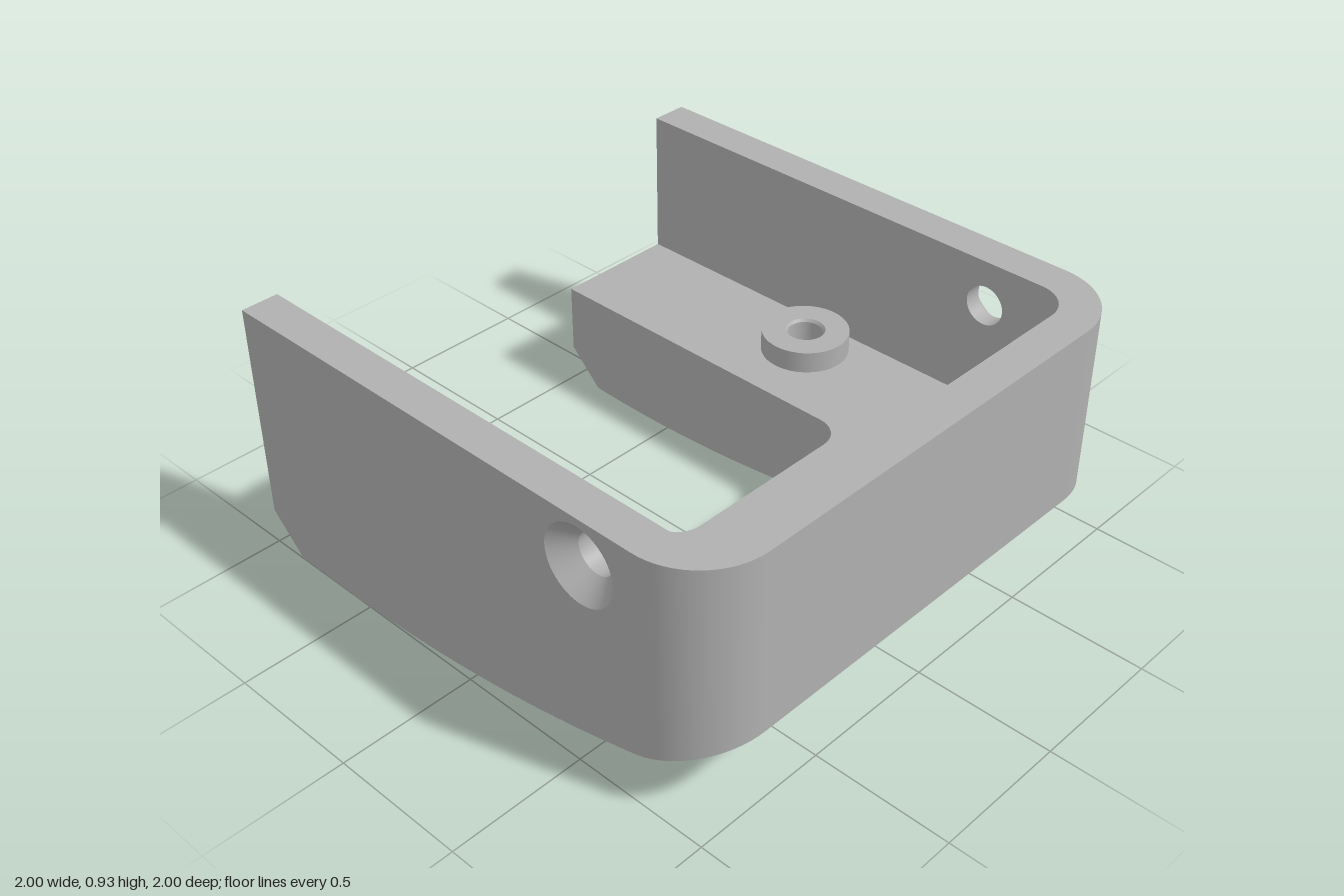
import * as THREE from 'three';

const TOP = 0.935, FLOOR = 0.395, INNER = 0.865;
const CHAMFER_X = -0.87, ARC_X = -0.625, ARC_R = 5.02;
const HOLE = { x: 0.53, y: 0.77, wide: 0.137, bore: 0.072 };
const OUTER_R = 0.26, INNER_R = 0.125;

// Height of the underside: one large arc, with a chamfer at the open end
const arc = (x) => ARC_R - Math.sqrt(ARC_R ** 2 - (x - ARC_X) ** 2);
const under = (x) => x >= CHAMFER_X ? arc(x)
  : THREE.MathUtils.mapLinear(x, -1, CHAMFER_X, 0.135, arc(CHAMFER_X));

// Half of a U outline in [x, z], from the open end round the corner
function halfOutline(xMax, zMax, r) {
  const pts = [[-1, zMax]];
  for (let i = 0; i <= 24; i++) pts.push([THREE.MathUtils.lerp(CHAMFER_X, xMax - r, i / 24), zMax]);
  for (let i = 1; i <= 16; i++) {
    const a = (i / 16) * Math.PI / 2;
    pts.push([xMax - r + r * Math.sin(a), zMax - r + r * Math.cos(a)]);
  }
  return pts;
}
const mirrorZ = (half) => [...half, ...half.slice().reverse().map(([x, z]) => [x, -z])];
const toVectors = (pts) => pts.map(([a, b]) => new THREE.Vector2(a, b));

// Surface strip between two matching rows of 3D points
function strip(rowA, rowB) {
  const index = [], n = rowA.length;
  for (let i = 0; i < n - 1; i++) index.push(i, n + i, i + 1, i + 1, n + i, n + i + 1);
  const g = new THREE.BufferGeometry();
  g.setAttribute('position', new THREE.Float32BufferAttribute([...rowA, ...rowB].flat(), 3));
  g.setIndex(index);
  g.computeVertexNormals();
  return g;
}

// Upright wall along an outline
const wall = (pts, bottom) => strip(
  pts.map(([x, z]) => [x, bottom(x), z]), pts.map(([x, z]) => [x, TOP, z]));

// Flat plate from an outline with round holes [x, y, radius]
function plate(pts, holes = []) {
  const shape = new THREE.Shape(toVectors(pts));
  for (const [x, y, r] of holes) shape.holes.push(new THREE.Path().absarc(x, y, r, 0, Math.PI * 2, true));
  return new THREE.ShapeGeometry(shape, 24);
}

export function createModel() {
  const grey = new THREE.MeshStandardMaterial({ color: 0xb0b0b0, side: THREE.DoubleSide });
  grey.name = 'grey';
  const model = new THREE.Group();
  model.name = 'bracket';
  const add = (name, geometry, parent = model) => {
    const mesh = new THREE.Mesh(geometry, grey);
    mesh.name = name;
    parent.add(mesh);
    return mesh;
  };
  // Turned part: each profile segment keeps crisp edges
  const turned = (name, profile) => {
    const group = new THREE.Group();
    group.name = name;
    for (let i = 0; i < profile.length - 1; i++) {
      add(name + 'Face', new THREE.LatheGeometry(toVectors([profile[i], profile[i + 1]]), 48), group);
    }
    model.add(group);
    return group;
  };

  const outer = halfOutline(1, 1, OUTER_R);
  const inner = halfOutline(INNER, INNER, INNER_R);
  const slot = halfOutline(0.33, 0.4, 0.1);
  const corner = (half, from) => mirrorZ(half.filter(([x]) => x >= from - 1e-6));

  // End wall with rounded corners, outside and inside
  add('endWallOutside', wall(corner(outer, 1 - OUTER_R), under));
  add('endWallInside', wall(corner(inner, INNER - INNER_R), () => FLOOR));

  // Top rim and floor
  add('rim', plate([...mirrorZ(outer), ...mirrorZ(inner).reverse()]).rotateX(Math.PI / 2)).position.y = TOP;
  const screws = [-0.1, 0.73].flatMap((x) => [-0.7, 0.7].map((z) => [x, z]));
  add('floor', plate([...mirrorZ(inner), ...mirrorZ(slot).reverse()],
    screws.map(([x, z]) => [x, z, 0.1])).rotateX(Math.PI / 2)).position.y = FLOOR;

  // Slot sides
  const slotPath = mirrorZ(slot);
  add('slotWall', strip(slotPath.map(([x, z]) => [x, under(x), z]), slotPath.map(([x, z]) => [x, FLOOR, z])));

  // Curved underside between slot and end wall
  const outerZ = (x) => x <= 1 - OUTER_R ? 1
    : 1 - OUTER_R + Math.sqrt(Math.max(0, OUTER_R ** 2 - (x - 1 + OUTER_R) ** 2));
  const across = [];
  for (let i = 0; i < 12; i++) across.push(THREE.MathUtils.lerp(0.33, 1 - OUTER_R, i / 12));
  across.push(...outer.filter(([x]) => x >= 1 - OUTER_R - 1e-6).map(([x]) => x));
  add('underside', strip(across.map((x) => [x, under(x), -outerZ(x)]), across.map((x) => [x, under(x), outerZ(x)])));

  for (const s of [1, -1]) {
    const side = s > 0 ? 'left' : 'right';
    // Side wall skins with the screw hole
    const flat = outer.filter(([x]) => x <= 1 - OUTER_R + 1e-6).map(([x]) => [x, under(x)]);
    add(side + 'WallOutside', plate([...flat, [1 - OUTER_R, TOP], [-1, TOP]],
      [[HOLE.x, HOLE.y, HOLE.wide]])).position.z = s;
    const xIn = INNER - INNER_R;
    add(side + 'WallInside', plate([[-1, FLOOR], [xIn, FLOOR], [xIn, TOP], [-1, TOP]],
      [[HOLE.x, HOLE.y, HOLE.bore]])).position.z = s * INNER;

    // Countersunk screw hole
    const sink = turned(side + 'Countersink', [[HOLE.wide, 1], [HOLE.bore, 0.93], [HOLE.bore, INNER]]);
    sink.rotation.x = s * Math.PI / 2;
    sink.position.set(HOLE.x, HOLE.y, 0);

    // L-shaped open end
    const end = [[1, 0.135], [1, TOP], [INNER, TOP], [INNER, FLOOR], [0.4, FLOOR], [0.4, 0.135]];
    add(side + 'EndFace', plate(end.map(([z, y]) => [s * z, y])).rotateY(-Math.PI / 2)).position.x = -1;

    // Arm underside and its chamfer
    const arm = (pts) => strip(pts.map(([x, z]) => [x, under(x), s * z]), pts.map(([x]) => [x, under(x), s]));
    add(side + 'ArmUnderside', arm(slot.slice(1)));
    add(side + 'ArmChamfer', arm(slot.slice(0, 2)));
  }

  // Round bosses with blind screw holes
  for (const [x, z] of screws) {
    turned('boss', [[0.157, FLOOR], [0.157, 0.475], [0.071, 0.475], [0.063, 0.465], [0.063, 0.26], [0, 0.26]])
      .position.set(x, 0, z);
  }
  return model;
}
